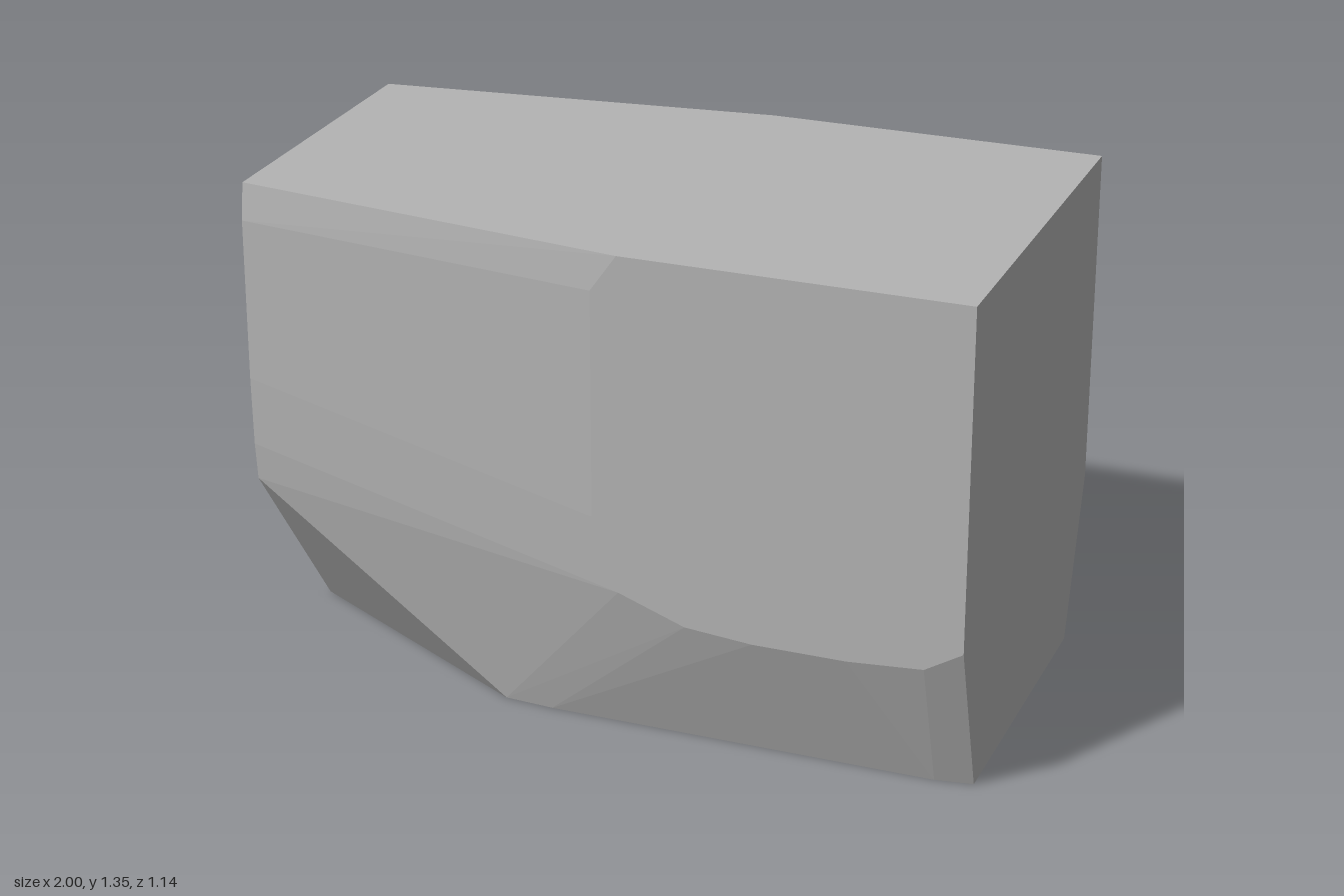
import * as THREE from 'three';
import { ConvexGeometry } from 'three/addons/geometries/ConvexGeometry.js';

export function createModel() {
  const group = new THREE.Group();
  const grey = new THREE.MeshStandardMaterial({ color: 0xb3b3b3 });
  grey.name = 'plain grey';

  const points = [];
  const add = (x, y, z) => points.push(new THREE.Vector3(x, y, z));

  // Outline of the flat flank, the same on both sides
  const flank = [
    [1, 1.35], [0.09, 1.35], [0.02, 1.25], [0.02, 0.64], [0.09, 0.44],
    [0.27, 0.375], [0.45, 0.36], [0.7, 0.36], [0.9, 0.375], [1, 0.435],
  ];
  for (const side of [1, -1]) {
    for (const [x, y] of flank) add(x, y, side * 0.57);
    // Bottom edge at the wide end
    add(1, 0, side * 0.43);
    add(0.9, 0, side * 0.445);
  }

  // Narrow end, front edge, running down to the cut corner
  add(-1, 1.35, 0.428);
  add(-1, 1.25, 0.441);
  add(-1, 0.81, 0.441);
  add(-1, 0.62, 0.435);
  add(-1, 0.515, 0.424);

  // Cut corner on the bottom
  add(-0.15, 0, 0.445);
  add(-0.285, 0, 0.436);
  add(-1, 0, 0.04);

  // Narrow end, back edge, running down to the ground
  add(-1, 1.35, -0.439);
  add(-1, 1.25, -0.45);
  add(-1, 0, -0.447);

  // All faces are flat, so the block is the hull of its corners
  const block = new THREE.Mesh(new ConvexGeometry(points), grey);
  block.name = 'facetedBlock';
  group.add(block);
  return group;
}
